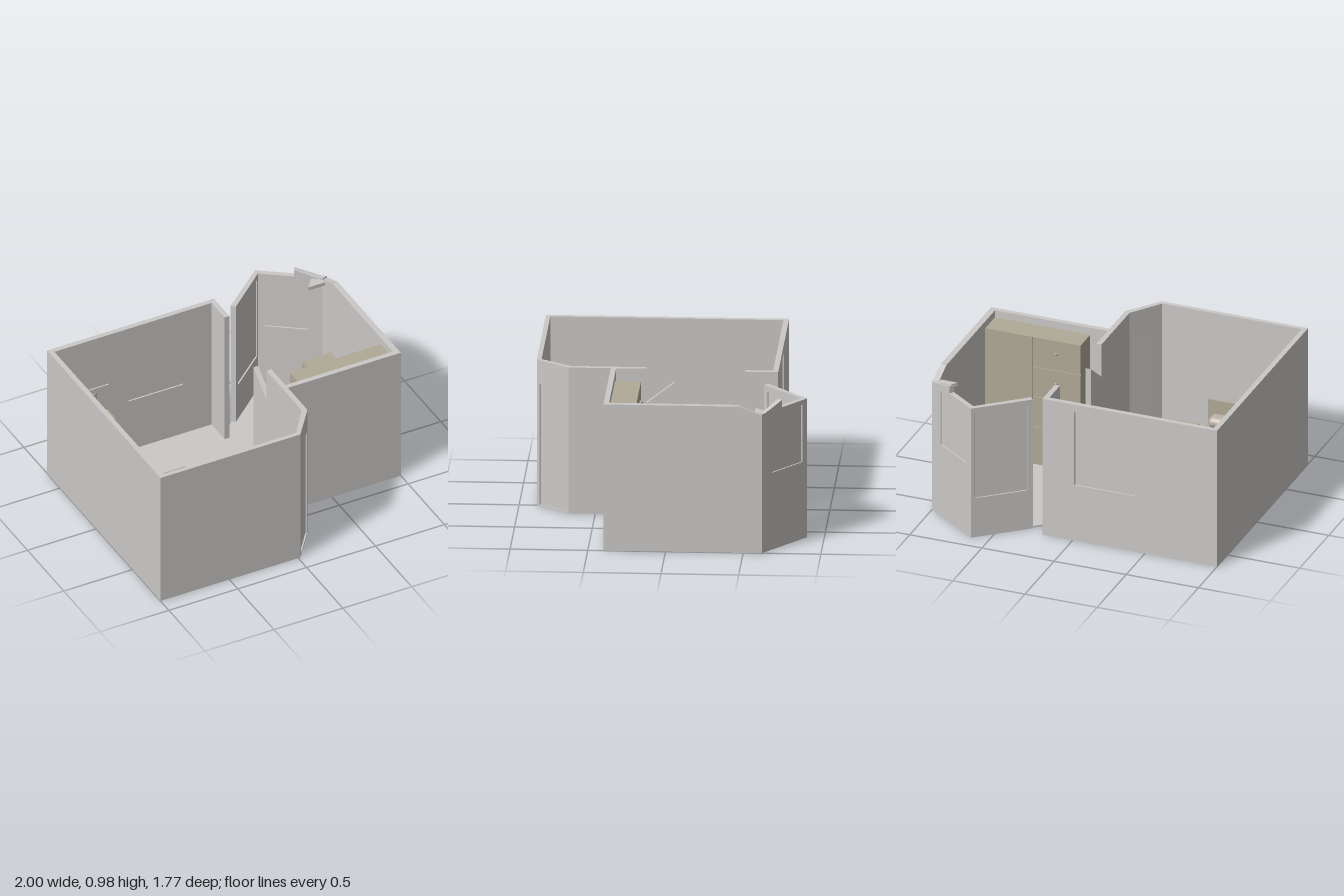
import * as THREE from 'three';
import { RoundedBoxGeometry } from 'three/addons/geometries/RoundedBoxGeometry.js';

const material = (name, color) => Object.assign(new THREE.MeshStandardMaterial({ color }), { name });

export function createModel() {
  const model = new THREE.Group();
  model.name = 'roomModel';
  const plaster = material('plasterGrey', 0xcbc9c7);
  const wood = material('oliveWood', 0xb0aa96);
  const linen = material('linen', 0xbdb5a8);
  const H = 0.98, BAY = 0.93;

  const add = (parent, name, geometry, mat) => {
    const mesh = new THREE.Mesh(geometry, mat);
    mesh.name = name;
    parent.add(mesh);
    return mesh;
  };
  const group = (name) => {
    const g = new THREE.Group();
    g.name = name;
    model.add(g);
    return g;
  };
  // Box given by its limits on each axis
  const box = (parent, name, x0, x1, y0, y1, z0, z1, mat = wood) => {
    const m = add(parent, name, new THREE.BoxGeometry(x1 - x0, y1 - y0, z1 - z0), mat);
    m.position.set((x0 + x1) / 2, (y0 + y1) / 2, (z0 + z1) / 2);
    return m;
  };
  // Upright prism over four plan points [x, z]; the top may slope between its two ends
  const prism = (parent, name, plan, y0, yA, yB = yA) => {
    const tops = [yA, yB, yB, yA], pos = [];
    const lo = plan.map(([x, z]) => [x, y0, z]);
    const hi = plan.map(([x, z], i) => [x, tops[i], z]);
    const quad = (a, b, c, d) => pos.push(...a, ...b, ...c, ...a, ...c, ...d);
    quad(...lo);
    quad(hi[3], hi[2], hi[1], hi[0]);
    for (let i = 0; i < 4; i++) {
      const j = (i + 1) % 4;
      quad(lo[i], hi[i], hi[j], lo[j]);
    }
    const g = new THREE.BufferGeometry();
    g.setAttribute('position', new THREE.Float32BufferAttribute(pos, 3));
    g.computeVertexNormals();
    add(parent, name, g, plaster);
  };
  const mix = (p, q, t) => [p[0] + (q[0] - p[0]) * t, p[1] + (q[1] - p[1]) * t];
  // Wall from outer edge a-b to inner edge c-d, optionally with a recessed panel
  const wall = (name, a, b, c, d, height, opening) => {
    const g = group(name);
    if (!opening) return prism(g, name + 'Body', [a, b, d, c], 0, height);
    const { u0, u1, y0, y1, panel } = opening;
    const slice = (s, t, p = 0, q = 1) => {
      const at = (u, v) => mix(mix(a, b, u), mix(c, d, u), v);
      return [at(s, p), at(t, p), at(t, q), at(s, q)];
    };
    prism(g, 'wallSide', slice(0, u0), 0, height);
    prism(g, 'wallSide', slice(u1, 1), 0, height);
    prism(g, 'wallBelow', slice(u0, u1), 0, y0);
    const above = slice(u0, u1);
    prism(g, 'wallAbove', above, y1, height);
    prism(g, panel, slice(u0, u1, 0.3, 0.7), y0, y1);
  };

  // Floor slab
  const outline = [[-1, -0.68], [0.21, -0.68], [0.21, -0.53], [0.62, -0.89], [1, -0.62], [1, 0.4],
    [0.18, 0.4], [0.18, 0.67], [0.015, 0.885], [-1, 0.885]];
  const slab = new THREE.ExtrudeGeometry(
    new THREE.Shape(outline.map(([x, z]) => new THREE.Vector2(x, -z))), { depth: 0.012, bevelEnabled: false });
  add(model, 'floor', slab.rotateX(-Math.PI / 2), plaster);

  // Outer walls
  wall('backWall', [-1, -0.68], [0.21, -0.68], [-0.965, -0.645], [0.175, -0.645], H,
    { u0: 0.47, u1: 0.82, y0: 0.4, y1: 0.925, panel: 'windowPane' });
  wall('backWallReturn', [0.21, -0.68], [0.21, -0.465], [0.175, -0.645], [0.175, -0.465], H);
  wall('bayLeftWall', [0.3, -0.62], [0.62, -0.89], [0.325, -0.595], [0.62, -0.85], BAY,
    { u0: 0.09, u1: 0.95, y0: 0.28, y1: 0.89, panel: 'windowPane' });
  wall('bayRightWall', [0.62, -0.89], [1, -0.62], [0.62, -0.85], [0.96, -0.605], BAY,
    { u0: 0.1, u1: 0.78, y0: 0.515, y1: 0.9, panel: 'windowPane' });
  wall('sideWall', [1, -0.47], [1, 0.4], [0.96, -0.47], [0.96, 0.365], H);
  wall('frontRightWall', [1, 0.4], [0.18, 0.4], [0.96, 0.365], [0.18, 0.365], H);
  wall('innerCornerWall', [0.18, 0.17], [0.18, 0.67], [0.145, 0.17], [0.145, 0.655], H);
  wall('entryWall', [0.18, 0.67], [0.015, 0.885], [0.145, 0.655], [0, 0.855], H,
    { u0: 0.06, u1: 0.91, y0: 0.012, y1: 0.82, panel: 'door' });
  wall('frontWall', [0.015, 0.885], [-1, 0.885], [0, 0.855], [-0.965, 0.855], H);
  wall('leftWall', [-1, 0.885], [-1, -0.68], [-0.965, 0.855], [-0.965, -0.645], H);

  // Sloping wall ends
  const ends = group('slopingWallEnds');
  prism(ends, 'sideWallEnd', [[1, -0.62], [1, -0.47], [0.96, -0.47], [0.96, -0.605]], 0, 0.92, H);
  prism(ends, 'bayWallCrest', [[0.83, -0.741], [1, -0.62], [0.96, -0.605], [0.81, -0.713]], BAY - 0.01, H, 0.92);
  prism(ends, 'bayCornerSpur', [[0.84, -0.57], [0.9, -0.65], [0.96, -0.605], [0.96, -0.57]], 0.9, 0.925);
  prism(ends, 'partitionEnd', [[0.18, -0.01], [0.18, 0.17], [0.145, 0.17], [0.145, -0.01]], 0, 0.89, 0.75);

  const knob = (parent, x, y, z) =>
    add(parent, 'knob', new THREE.SphereGeometry(0.011, 12, 8), wood).position.set(x, y, z);

  // Bed
  const bed = group('bed');
  box(bed, 'bedBase', -0.91, -0.37, 0.04, 0.16, 0.015, 0.765);
  add(bed, 'mattress', new RoundedBoxGeometry(0.54, 0.11, 0.75, 3, 0.02), wood).position.set(-0.64, 0.205, 0.39);
  box(bed, 'headboard', -0.92, -0.355, 0.012, 0.4, 0.765, 0.78);
  box(bed, 'footboard', -0.92, -0.355, 0.012, 0.28, 0, 0.018);
  add(bed, 'pillow', new RoundedBoxGeometry(0.485, 0.075, 0.11, 5, 0.036), linen).position.set(-0.637, 0.29, 0.7);

  // Nightstand
  const stand = group('nightstand');
  box(stand, 'nightstandBody', -0.3, -0.15, 0.012, 0.22, 0.635, 0.75);
  knob(stand, -0.27, 0.16, 0.628);

  // Open media shelf with a screen
  const shelf = group('mediaShelf');
  for (const y of [0.02, 0.16, 0.29, 0.4]) box(shelf, 'shelfBoard', -0.965, -0.6, y, y + 0.022, -0.645, -0.49);
  for (const x of [-0.965, -0.618]) box(shelf, 'shelfSide', x, x + 0.018, 0.012, 0.42, -0.645, -0.49);
  box(shelf, 'shelfBack', -0.965, -0.6, 0.012, 0.42, -0.645, -0.635);
  const screen = group('screen');
  box(screen, 'screenPanel', -0.955, -0.6, 0.44, 0.635, -0.595, -0.585, plaster);
  const bulge = add(screen, 'screenBack', new THREE.CylinderGeometry(0.1, 0.1, 0.13, 24), plaster);
  bulge.scale.z = 0.22;
  bulge.position.set(-0.78, 0.53, -0.594);
  box(screen, 'screenFoot', -0.88, -0.68, 0.422, 0.44, -0.62, -0.58, plaster);

  // Tall cabinet: one door and a column of drawers
  const tall = group('tallCabinet');
  box(tall, 'cabinetBody', 0.3, 0.96, 0.012, 0.93, 0.206, 0.372);
  box(tall, 'cabinetDoor', 0.635, 0.96, 0.02, 0.93, 0.198, 0.206);
  for (let i = 0; i < 4; i++) {
    const y = 0.93 - 0.215 * i;
    box(tall, 'drawerFront', 0.3, 0.63, y - 0.205, y, 0.198, 0.206);
    knob(tall, 0.465, y - 0.09, 0.188);
  }
  knob(tall, 0.655, 0.48, 0.188);

  // Low cabinet along the side wall: two doors between drawer columns
  const low = group('lowCabinet');
  box(low, 'lowCabinetBody', 0.756, 0.96, 0.012, 0.42, -0.49, 0.03);
  for (const [z0, z1, zk] of [[-0.488, -0.368, -0.4], [-0.362, -0.233, -0.34], [-0.227, -0.098, -0.12], [-0.092, 0.028, -0.06]]) {
    box(low, 'lowCabinetFront', 0.748, 0.756, 0.03, 0.41, z0, z1);
    knob(low, 0.738, 0.3, zk);
  }
  knob(low, 0.738, 0.3, -0.23);
  return model;
}
